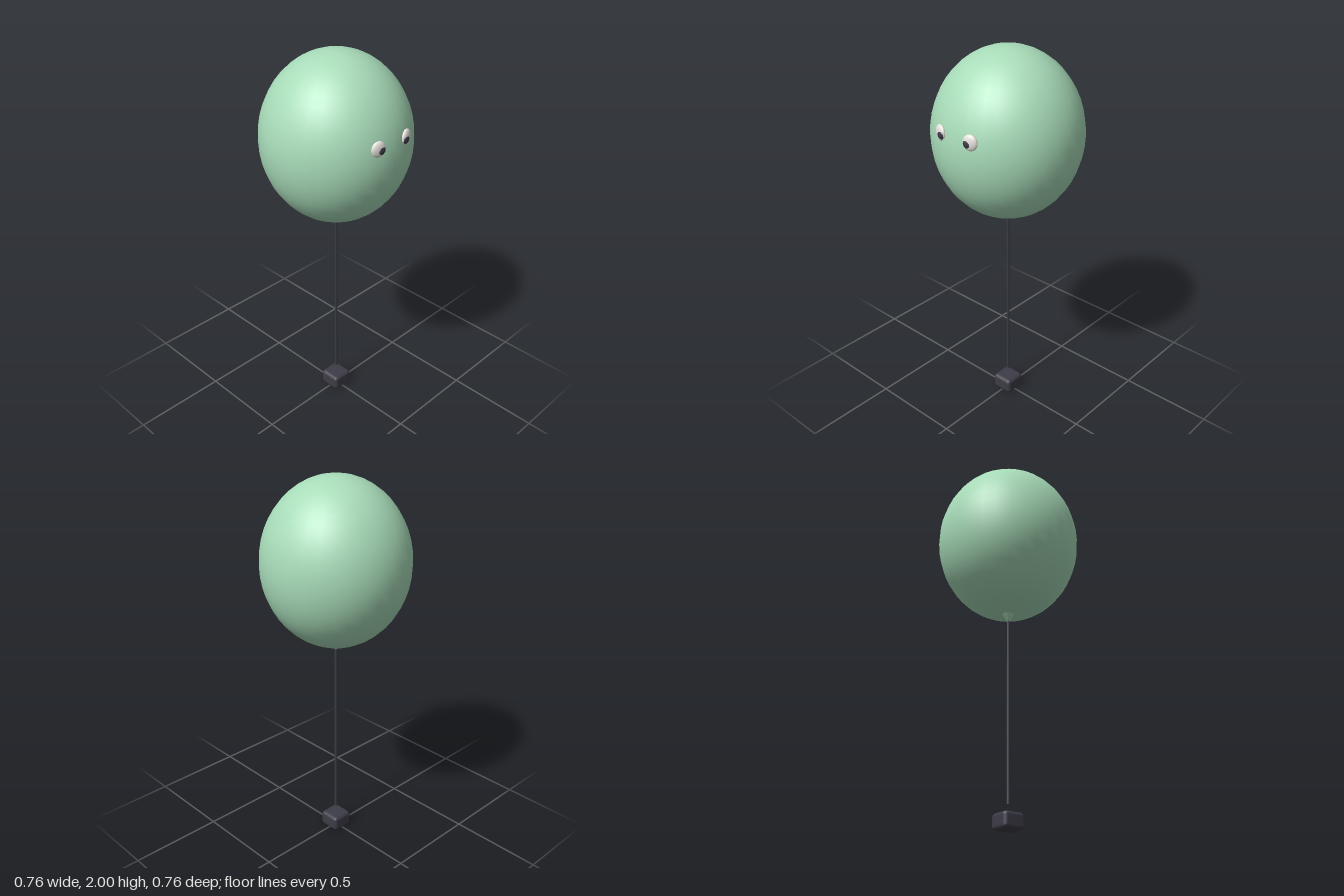
import * as THREE from 'three';
import { RoundedBoxGeometry } from 'three/addons/geometries/RoundedBoxGeometry.js';

const material = (name, color) => {
  const m = new THREE.MeshStandardMaterial({ color });
  m.name = name;
  return m;
};

export function createModel() {
  const group = new THREE.Group();
  group.name = 'balloon';
  const green = material('mint green', 0xa8dcb9);
  const dark = material('charcoal', 0x3d3c47);
  const white = material('eye white', 0xf0ece6);

  const add = (name, geometry, mat, x, y, z) => {
    const mesh = new THREE.Mesh(geometry, mat);
    mesh.name = name;
    mesh.position.set(x, y, z);
    group.add(mesh);
    return mesh;
  };

  // Inflated body, slightly taller than wide
  const body = new THREE.SphereGeometry(0.38, 32, 24);
  body.scale(1, 0.433 / 0.38, 1);
  add('body', body, green, 0, 1.567, 0);

  // Tied neck, tapering down to the string
  add('knot', new THREE.CylinderGeometry(0.034, 0.006, 0.04, 10), green, 0, 1.118, 0);

  // String and the weight below it
  add('string', new THREE.CylinderGeometry(0.007, 0.007, 0.985, 8), dark, 0, 0.6175, 0);
  add('weight', new RoundedBoxGeometry(0.12, 0.084, 0.12, 2, 0.02), dark, 0, 0.042, 0);

  // Flattened eyes on the +x side, turned to follow the body
  for (const side of [1, -1]) {
    const eye = add(side > 0 ? 'frontEye' : 'backEye',
      new THREE.SphereGeometry(1, 16, 12), white, 0.36, 1.648, side * 0.095);
    eye.scale.set(0.016, 0.04, 0.038);
    eye.rotation.y = -side * 0.27;

    const pupil = add(side > 0 ? 'frontPupil' : 'backPupil',
      new THREE.SphereGeometry(1, 12, 8), dark, 0.364, 1.643, side * 0.085);
    pupil.scale.set(0.017, 0.026, 0.026);
    pupil.rotation.y = -side * 0.24;
  }

  return group;
}
